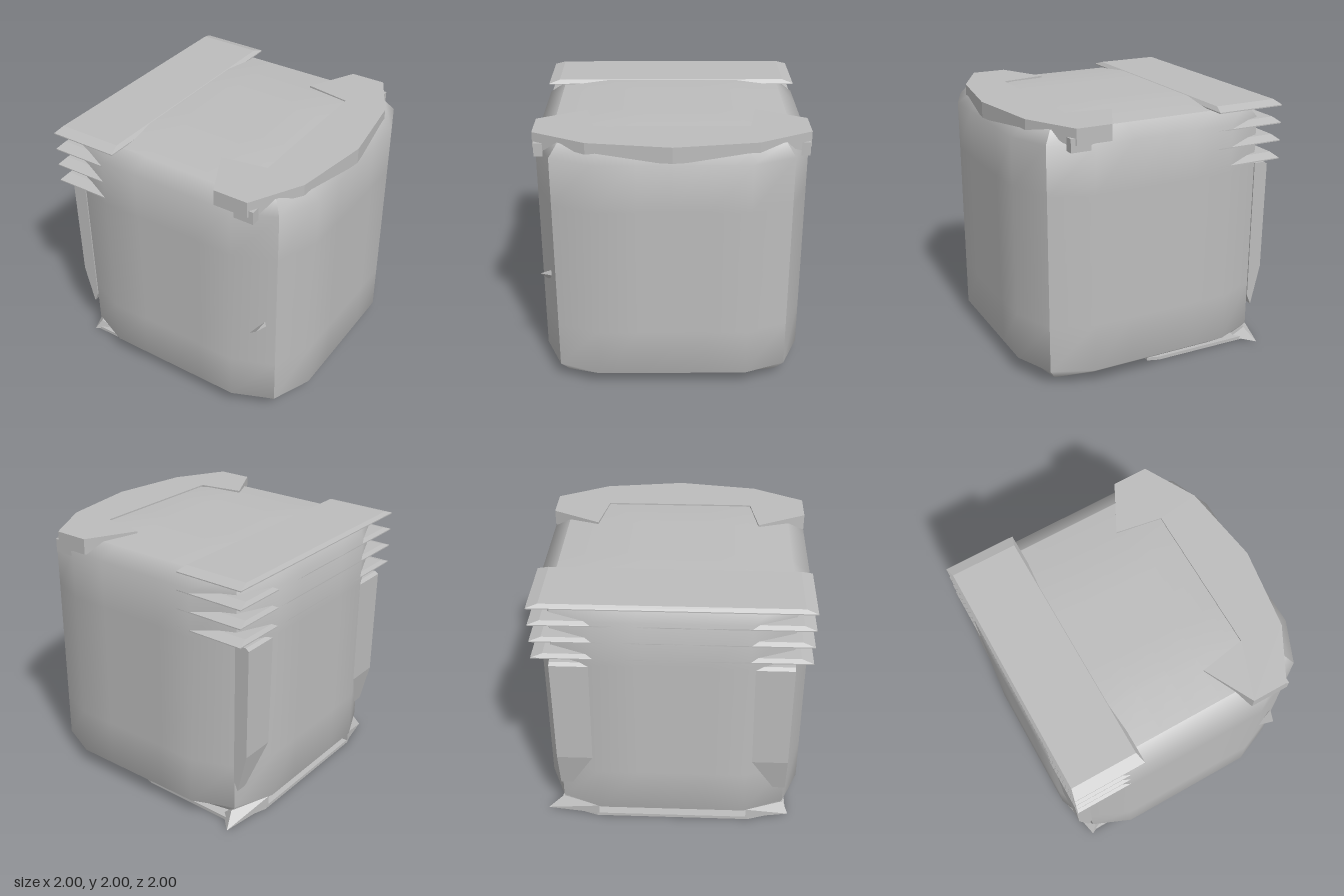
import * as THREE from 'three';
import { ConvexGeometry } from 'three/addons/geometries/ConvexGeometry.js';

const grey = new THREE.MeshStandardMaterial({ color: 0xbcbcbc });
grey.name = 'plainGrey';

// Smooth patch from a grid of points, rows running upward and columns rightward
function patch(rows) {
  const n = rows[0].length, index = [];
  for (let r = 0; r < rows.length - 1; r++) {
    for (let c = 0; c < n - 1; c++) {
      const a = r * n + c, b = a + 1, d = a + n, e = d + 1;
      index.push(a, b, e, a, e, d);
    }
  }
  const g = new THREE.BufferGeometry();
  g.setAttribute('position', new THREE.Float32BufferAttribute(rows.flat(2), 3));
  g.setIndex(index);
  g.computeVertexNormals();
  return g;
}

// Prism from an outline in x and z, between two heights
function slab(points, y0, y1) {
  const shape = new THREE.Shape(points.map(([x, z]) => new THREE.Vector2(x, -z)));
  const g = new THREE.ExtrudeGeometry(shape, { depth: y1 - y0, bevelEnabled: false });
  return g.rotateX(-Math.PI / 2).translate(0, y0, 0);
}

// Solid wrapped round a few corners
function hull(points) {
  return new ConvexGeometry(points.map((p) => new THREE.Vector3(...p)));
}

// Outline completed by its mirror image in z
function mirrored(half) {
  return [...half, ...half.map(([x, z]) => [x, -z]).reverse()];
}

export function createModel() {
  const model = new THREE.Group();
  const add = (name, geometry, parent = model) => {
    const mesh = new THREE.Mesh(geometry, grey);
    mesh.name = name;
    parent.add(mesh);
    return mesh;
  };

  // Bulging body: four walls, a top and a bottom
  const body = new THREE.Group();
  body.name = 'body';
  model.add(body);
  const levels = [0.04, 0.13, 0.5, 1, 1.5, 1.87, 1.96];
  const across = [-1, -0.645, -0.3, 0, 0.3, 0.645, 1];
  const wallRows = levels.map((y, i) => {
    const end = i === 0 || i === levels.length - 1;
    const corner = end ? 0.81 : 0.87, middle = end ? 0.87 : 1;
    return across.map((u) => [u * corner, y, Math.abs(u) === 1 ? corner : middle]);
  });
  ['frontWall', 'leftWall', 'backWall', 'rightWall'].forEach((name, i) => {
    add(name, patch(wallRows).rotateY(i * Math.PI / 2), body);
  });
  const capRows = [...across].reverse().map((v) => across.map((u) => {
    const edgeU = Math.abs(u) === 1, edgeV = Math.abs(v) === 1;
    const x = edgeU ? u * (edgeV ? 0.81 : 0.87) : u * 0.81;
    const z = edgeV ? v * (edgeU ? 0.81 : 0.87) : v * 0.81;
    return [x, edgeU || edgeV ? 0.96 : 0.996, z];
  }));
  const cap = patch(capRows);
  add('topFace', cap, body).position.y = 1;
  add('bottomFace', cap.clone().rotateX(Math.PI), body).position.y = 1;

  // Stack of bevelled plates round the upper edge
  [1.965, 1.83, 1.693, 1.553].forEach((y, i) => {
    const corners = [];
    for (const s of [-1, 1]) {
      corners.push([-1, y, s], [-0.45, y, s], [-1, y + 0.008, s], [-0.45, y + 0.008, s]);
      corners.push([-0.98, y + 0.035, s * 0.915], [-0.475, y + 0.035, s * 0.915]);
    }
    add(i ? 'sideFin' : 'topPlate', hull(corners));
  });

  // Trim over the opposite upper edge, with a hanging tab at each end
  add('topTrim', slab(mirrored([
    [0.58, 0], [0.59, 0.57], [0.24, 0.63], [0.43, 1], [0.7, 1], [0.91, 0.61], [1, 0],
  ].slice(1, 6)).toSpliced(5, 0, [1, 0]), 1.88, 2));
  for (const s of [-1, 1]) {
    const tab = add('trimTab', new THREE.BoxGeometry(0.18, 0.1, 0.17));
    tab.position.set(0.65, 1.88, s * 0.905);
  }

  // Tall panel whose ends stand out at the rounded corners
  const panelShape = new THREE.Shape([
    [-0.96, 1.5], [-0.985, 1.48], [-0.98, 0.62], [-0.905, 0.3], [-0.87, 0.38], [-0.87, 1.5],
  ].map(([x, y]) => new THREE.Vector2(x, y)));
  add('cornerPanel', new THREE.ExtrudeGeometry(panelShape, { depth: 1.76, bevelEnabled: false })
    .translate(0, 0, -0.88));

  // Base plate and its corner feet
  add('basePlate', slab(mirrored([[0.04, 0.86], [-0.05, 0.89], [-0.87, 0.9], [-0.97, 0.6]]), 0.008, 0.034));
  for (const [s, reach] of [[1, 0.92], [-1, 1]]) {
    add('cornerFoot', hull([
      [-0.98, 0.12, s * 0.58], [-0.98, 0.04, s * 0.58], [-0.85, 0.1, s * 0.88],
      [-0.9, 0.012, s * reach], [-0.75, 0.02, s * 0.85], [-0.8, 0.02, s * 0.6],
    ]));
  }

  // Small splinter on the front
  add('frontSplinter', hull([
    [0.68, 0.78, 0.94], [0.8, 0.93, 0.91], [0.81, 0.89, 0.91], [0.78, 0.89, 0.995], [0.75, 0.85, 0.9],
  ]));
  return model;
}
